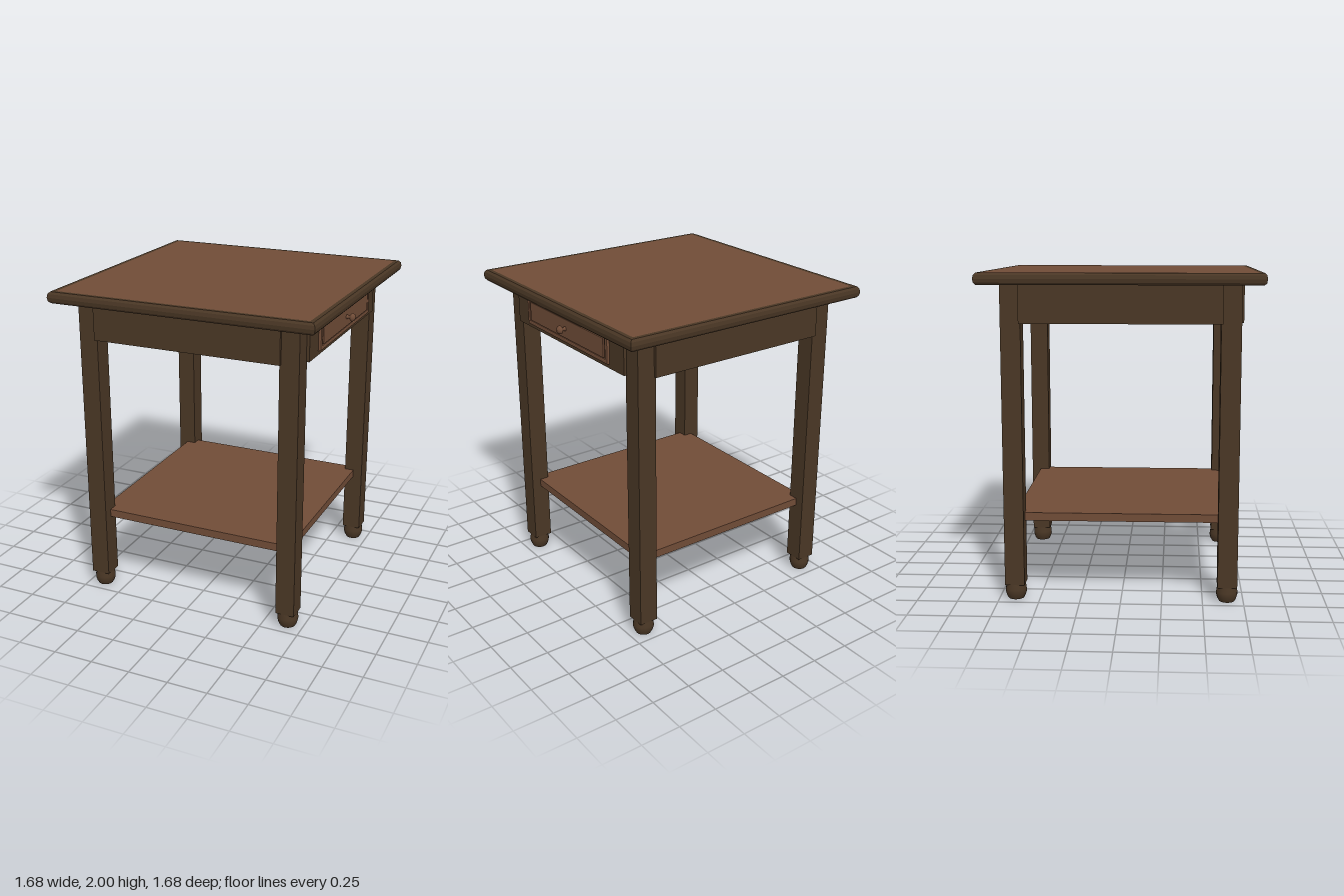
import * as THREE from 'three';

const darkWood = new THREE.MeshStandardMaterial({ color: 0x4a3725 });
darkWood.name = 'dark wood';
const brownWood = new THREE.MeshStandardMaterial({ color: 0x704c37 });
brownWood.name = 'brown wood';

function add(parent, name, geometry, material, x = 0, y = 0, z = 0) {
  const mesh = new THREE.Mesh(geometry, material);
  mesh.name = name;
  mesh.position.set(x, y, z);
  parent.add(mesh);
  return mesh;
}

const points = (list) => list.map(([x, y]) => new THREE.Vector2(x, y));

// Square ring with mitred corners, swept from a profile of (half width, height)
function squareRing(profile) {
  const scaled = profile.map(([r, y]) => [r * Math.SQRT2, y]);
  const geometry = new THREE.LatheGeometry(points(scaled), 4).rotateY(Math.PI / 4).toNonIndexed();
  geometry.computeVertexNormals();
  return geometry;
}

function rectangle(shape, w, h) {
  return shape.moveTo(-w, -h).lineTo(w, -h).lineTo(w, h).lineTo(-w, h).closePath();
}

function createTop() {
  const top = new THREE.Group();
  top.name = 'tableTop';
  add(top, 'topPanel', new THREE.BoxGeometry(1.6, 0.07, 1.6), brownWood, 0, 1.965, 0);
  // Rounded edge moulding
  add(top, 'topEdge', squareRing([
    [0.8, 1.93], [0.826, 1.93], [0.838, 1.943], [0.842, 1.965],
    [0.838, 1.987], [0.826, 2], [0.8, 2],
  ]), darkWood);
  return top;
}

function createLeg(x, z) {
  const leg = new THREE.Group();
  leg.name = 'leg';
  add(leg, 'legPost', new THREE.BoxGeometry(0.12, 1.835, 0.12), darkWood, 0, 1.0125, 0);
  // Turned foot
  add(leg, 'foot', new THREE.LatheGeometry(points([
    [0, 0], [0.048, 0], [0.048, 0], [0.058, 0.018], [0.065, 0.042], [0.065, 0.06], [0.06, 0.096],
  ]), 16), darkWood);
  leg.position.set(x, 0, z);
  return leg;
}

function createDrawer() {
  const drawer = new THREE.Group();
  drawer.name = 'drawer';
  // Bevelled outer frame
  const frame = rectangle(new THREE.Shape(), 0.448, 0.082);
  frame.holes.push(rectangle(new THREE.Path(), 0.436, 0.07));
  const frameGeometry = new THREE.ExtrudeGeometry(frame, {
    depth: 0.012, bevelEnabled: true, bevelThickness: 0.008, bevelSize: 0.007, bevelSegments: 2,
  });
  add(drawer, 'drawerFrame', frameGeometry, brownWood);
  // Dark groove floor and raised centre panel
  add(drawer, 'drawerGroove', new THREE.BoxGeometry(0.87, 0.138, 0.008), darkWood, 0, 0, 0.006);
  add(drawer, 'drawerPanel', new THREE.BoxGeometry(0.83, 0.116, 0.02), brownWood, 0, 0, 0.01);
  // Turned knob
  const knob = new THREE.LatheGeometry(points([
    [0.016, 0], [0.011, 0.012], [0.011, 0.022], [0.025, 0.034],
    [0.026, 0.042], [0.018, 0.054], [0, 0.06],
  ]), 16).rotateX(Math.PI / 2);
  add(drawer, 'drawerKnob', knob, brownWood, 0, 0, 0.016);
  drawer.position.set(0.726, 1.815, 0);
  drawer.rotation.y = Math.PI / 2;
  return drawer;
}

export function createModel() {
  const table = new THREE.Group();
  table.name = 'sideTable';
  table.add(createTop());

  for (const x of [-0.65, 0.65]) {
    for (const z of [-0.65, 0.65]) table.add(createLeg(x, z));
  }

  // Apron boards, standing slightly proud of the legs
  for (let i = 0; i < 4; i++) {
    const angle = (i * Math.PI) / 2;
    const board = add(table, 'apronBoard', new THREE.BoxGeometry(1.2, 0.23, 0.05), darkWood,
      Math.sin(angle) * 0.703, 1.815, Math.cos(angle) * 0.703);
    board.rotation.y = angle;
  }

  // Lower shelf, its corners let into the legs
  add(table, 'shelf', new THREE.BoxGeometry(1.3, 0.05, 1.3), brownWood, 0, 0.515, 0);

  table.add(createDrawer());
  return table;
}
